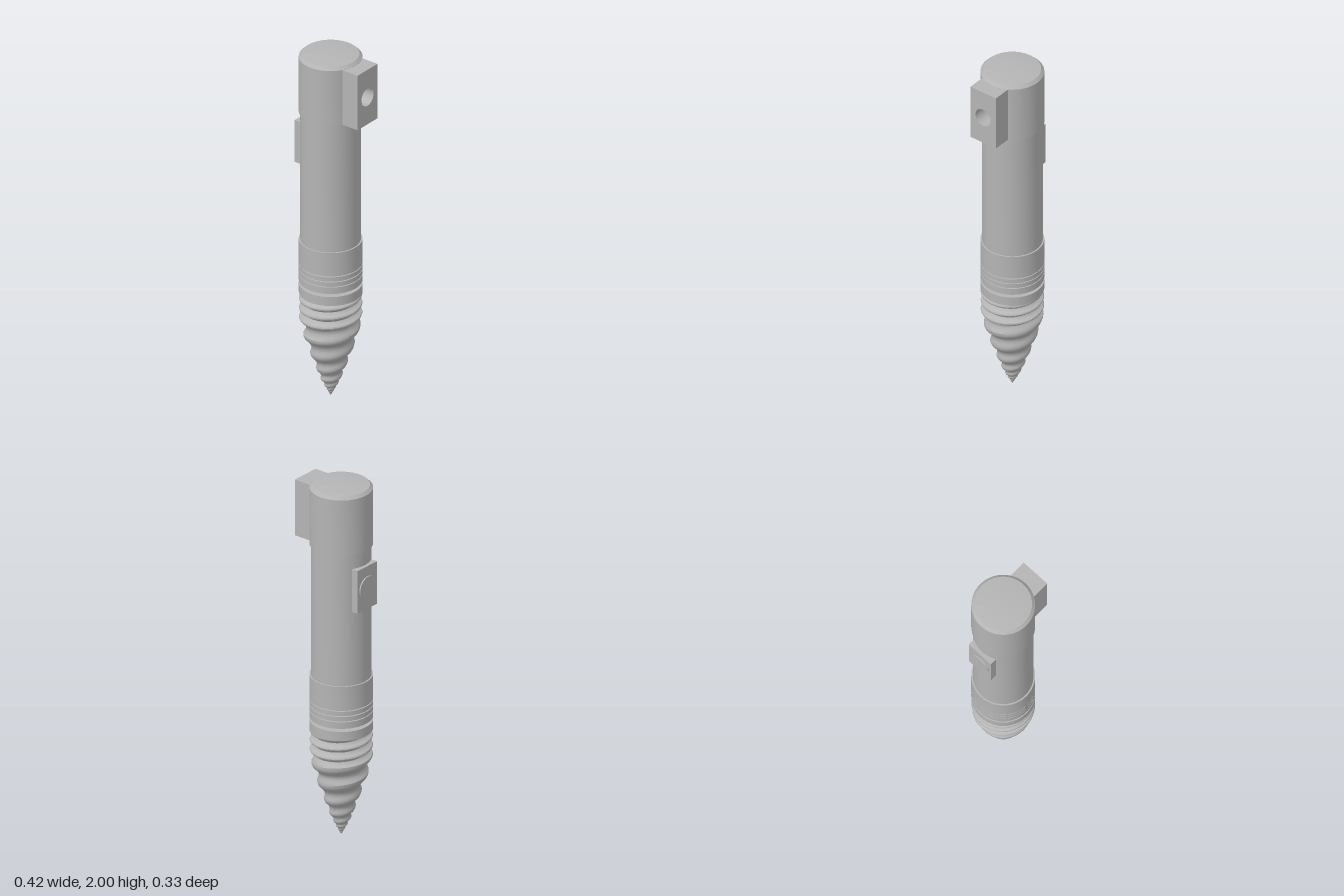
import * as THREE from 'three';
import { toCreasedNormals } from 'three/addons/utils/BufferGeometryUtils.js';

const AXIS_X = -0.03;

// Linear interpolation in a list of evenly spaced values, clamped at the ends
function sample(list, q) {
  const c = Math.min(Math.max(q, 0), list.length - 1);
  const i = Math.min(Math.floor(c), list.length - 2);
  return THREE.MathUtils.lerp(list[i], list[i + 1], c - i);
}

// Screw tip: a grid wrapped round the axis, its rows following one helix
function threadGeometry() {
  // height of the crest after every half turn, from the collar down
  const heights = [0.612, 0.583, 0.555, 0.53, 0.50, 0.475, 0.445, 0.385, 0.335, 0.275, 0.225,
    0.18, 0.14, 0.11, 0.085, 0.065, 0.05, 0.038, 0.028, 0.02, 0.012, 0.006, 0];
  // crest radius against height, in steps of 0.05
  const crest = [0.004, 0.031, 0.055, 0.073, 0.091, 0.108, 0.125, 0.141, 0.153, 0.163, 0.163, 0.163, 0.163, 0.163];
  // ridge and groove across one turn
  const ridge = [1, 0.985, 0.91, 0.85, 0.83, 0.85, 0.91, 0.985];
  const turns = 12, rows = turns * ridge.length, segs = 48;
  const geo = new THREE.PlaneGeometry(1, 1, segs, rows);
  const pos = geo.attributes.position;
  for (let iy = 0; iy <= rows; iy++) {
    for (let ix = 0; ix <= segs; ix++) {
      const a = (ix / segs) * Math.PI * 2;
      const y = sample(heights, (2 * iy) / ridge.length - a / Math.PI);
      const r = sample(crest, y / 0.05) * ridge[iy % ridge.length];
      pos.setXYZ(iy * (segs + 1) + ix, -r * Math.cos(a), y, r * Math.sin(a));
    }
  }
  return toCreasedNormals(geo, 0.6);
}

export function createModel() {
  const model = new THREE.Group();
  const grey = new THREE.MeshStandardMaterial({ color: 0xb4b4b4 });

  function add(name, geo, x = AXIS_X, y = 0, z = 0) {
    const mesh = new THREE.Mesh(geo, grey);
    mesh.name = name;
    mesh.position.set(x, y, z);
    model.add(mesh);
    return mesh;
  }
  function turned(name, profile) {
    const points = profile.map(([r, y]) => new THREE.Vector2(r, y));
    add(name, toCreasedNormals(new THREE.LatheGeometry(points, 48), 0.4));
  }
  const disc = (name, r, y0, y1) => turned(name, [[0, y0], [r, y0], [r, y1], [0, y1]]);

  // Main tube and head cap
  disc('body', 0.156, 0.85, 1.7);
  turned('headCap', [[0, 1.65], [0.164, 1.65], [0.164, 1.968], [0.148, 1.984], [0, 2]]);

  // Collar with ring grooves, all on a thin core
  disc('core', 0.08, 0.62, 0.86);
  disc('collar', 0.164, 0.772, 0.908);
  [[0.742, 0.767], [0.712, 0.737], [0.67, 0.707]].forEach(([y0, y1], i) =>
    disc('grooveRing' + (i + 1), 0.164, y0, y1));
  disc('screwCollar', 0.164, 0.6, 0.652);

  add('screwThread', threadGeometry());

  // Lug on the left with a bored hole
  const lug = new THREE.Shape();
  lug.moveTo(-0.083, 1.65);
  lug.lineTo(0.083, 1.65);
  lug.lineTo(0.083, 1.967);
  lug.lineTo(-0.083, 1.967);
  lug.closePath();
  const bore = new THREE.Path();
  bore.absarc(0, 1.808, 0.05, 0, Math.PI * 2, true);
  lug.holes.push(bore);
  const lugGeo = new THREE.ExtrudeGeometry(lug, { depth: 0.11, bevelEnabled: false, curveSegments: 24 });
  lugGeo.rotateY(Math.PI / 2);
  add('lug', toCreasedNormals(lugGeo, 0.5), 0.1);

  // Switch plate and round button on the right
  add('switchPlate', new THREE.BoxGeometry(0.055, 0.242, 0.156), -0.1765, 1.449);
  const button = new THREE.CylinderGeometry(0.064, 0.064, 0.02, 32);
  button.rotateZ(Math.PI / 2);
  add('button', button, -0.201, 1.449);

  return model;
}
